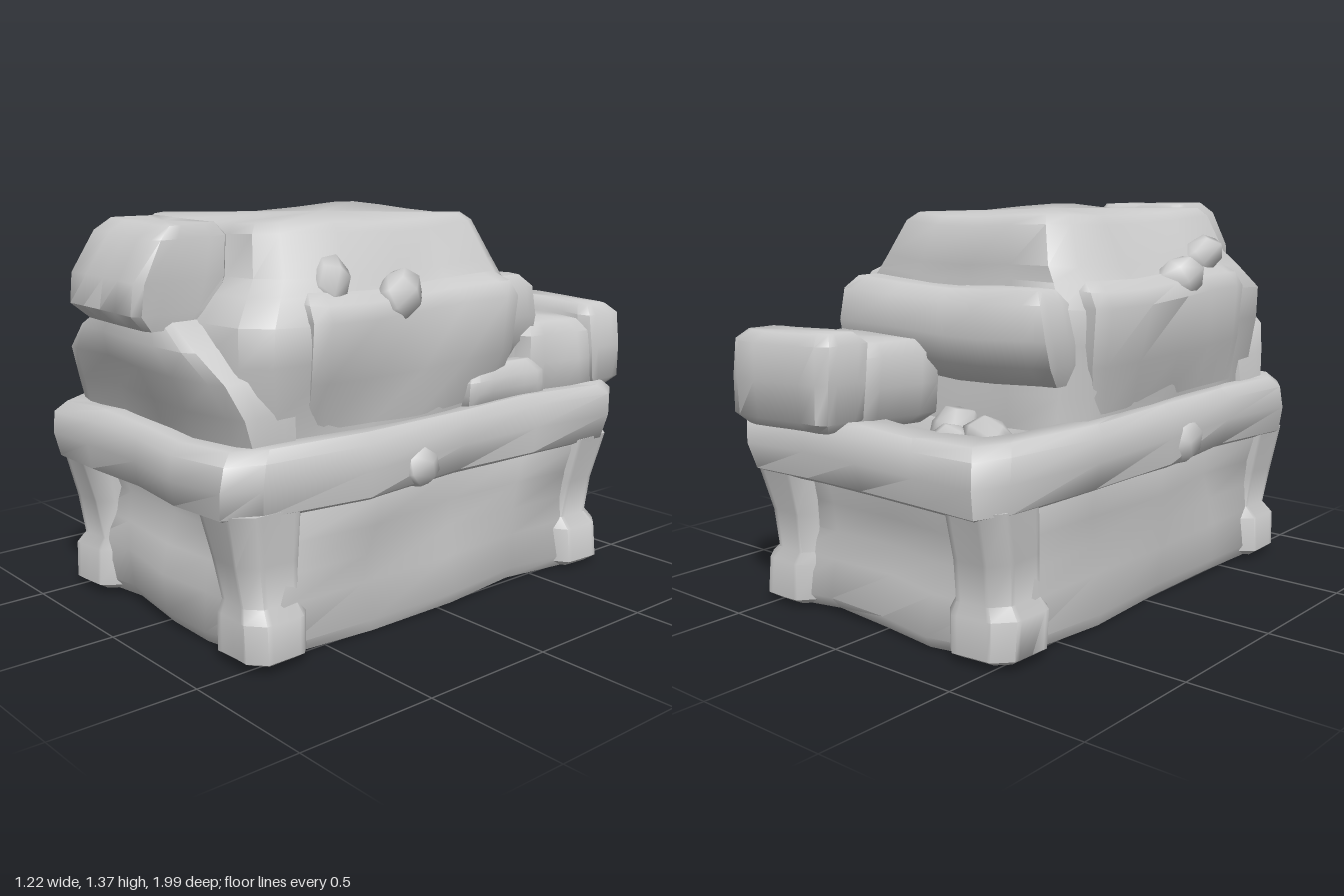
import * as THREE from 'three';
import { toCreasedNormals } from 'three/addons/utils/BufferGeometryUtils.js';

const material = new THREE.MeshStandardMaterial({ color: 0xcccccc, side: THREE.DoubleSide });

// Outline of a unit square, chamfered from c to the corner, counter-clockwise from above
function outline(c) {
  const steps = [-c, -0.42, 0.05, 0.45, c];
  return [
    ...steps.map((u) => [u, 1]),
    ...steps.map((u) => [1, -u]),
    ...steps.map((u) => [-u, -1]),
    ...steps.map((u) => [-1, u]),
  ];
}

// Worn, uneven surface
function wear(p, a) {
  const { x, y, z } = p;
  p.x += a * Math.sin(9 * y + 7 * z + 1);
  p.y += a * 0.6 * Math.sin(8 * x - 6 * z + 2);
  p.z += a * Math.sin(10 * x + 8 * y);
  return p;
}

// Closed loft through rings [y, x0, x1, z0, z1]
function loft(name, rings, amount = 0.015, corner = 0.86) {
  const shape = outline(corner), n = shape.length, pos = [], idx = [];
  const add = (x, y, z) => pos.push(...wear(new THREE.Vector3(x, y, z), amount).toArray());
  for (const [y, x0, x1, z0, z1] of rings) {
    for (const [u, v] of shape) {
      add((x0 + x1) / 2 + (u * (x1 - x0)) / 2, y, (z0 + z1) / 2 + (v * (z1 - z0)) / 2);
    }
  }
  for (const r of [rings[0], rings[rings.length - 1]]) add((r[1] + r[2]) / 2, r[0], (r[3] + r[4]) / 2);
  const bottom = rings.length * n, top = bottom + 1, last = (rings.length - 1) * n;
  for (let j = 0; j < n; j++) {
    const k = (j + 1) % n;
    for (let i = 0; i < rings.length - 1; i++) {
      const a = i * n + j, b = i * n + k;
      idx.push(a, b, b + n, a, b + n, a + n);
    }
    idx.push(k, j, bottom, last + j, last + k, top);
  }
  const g = new THREE.BufferGeometry();
  g.setAttribute('position', new THREE.Float32BufferAttribute(pos, 3));
  g.setIndex(idx);
  const mesh = new THREE.Mesh(toCreasedNormals(g, 0.9), material);
  mesh.name = name;
  return mesh;
}

// Block with bevelled top and bottom edges
function block(name, [x0, x1], [y0, y1], [z0, z1], b = 0.03, amount = 0.012) {
  const inset = (y) => [y, x0 + b, x1 - b, z0 + b, z1 - b];
  const full = (y) => [y, x0, x1, z0, z1];
  return loft(name, [inset(y0), full(y0 + b), full((y0 + y1) / 2), full(y1 - b), inset(y1)], amount, 0.8);
}

// Small worn lump
function lump(name, x, y, z, sx, sy, sz, turn) {
  const m = new THREE.Mesh(new THREE.SphereGeometry(1, 6, 4), material);
  m.name = name;
  m.position.set(x, y, z);
  m.scale.set(sx, sy, sz);
  m.rotation.set(turn, turn * 0.7, turn * 0.4);
  return m;
}

// Interval mirrored to the negative side when s < 0
const span = (a, b, s) => (s > 0 ? [a, b] : [-b, -a]);

export function createModel() {
  const model = new THREE.Group();
  model.name = 'chest';

  // Lower box, bulging low on the front and flaring upward
  model.add(loft('body', [
    [0.015, -0.52, 0.52, -0.78, 0.77],
    [0.06, -0.54, 0.54, -0.81, 0.8],
    [0.2, -0.54, 0.54, -0.79, 0.81],
    [0.3, -0.54, 0.54, -0.78, 0.79],
    [0.4, -0.545, 0.545, -0.79, 0.76],
    [0.5, -0.555, 0.555, -0.82, 0.79],
    [0.6, -0.52, 0.52, -0.82, 0.8],
  ]));

  // Rounded corner feet melting into leaning posts
  for (const sx of [-1, 1]) {
    for (const sz of [-1, 1]) {
      model.add(loft('footAndPost', [
        [0.015, ...span(0.34, 0.54, sx), ...span(0.62, 0.8, sz)],
        [0.04, ...span(0.31, 0.575, sx), ...span(0.59, 0.84, sz)],
        [0.17, ...span(0.31, 0.575, sx), ...span(0.59, 0.84, sz)],
        [0.21, ...span(0.32, 0.54, sx), ...span(0.6, 0.82, sz)],
        [0.35, ...span(0.32, 0.555, sx), ...span(0.6, 0.84, sz)],
        [0.52, ...span(0.31, 0.575, sx), ...span(0.6, 0.88, sz)],
      ], 0.008, 0.58));
    }
  }

  // Heavy band around the opening, turning in to a sunken floor
  model.add(loft('rim', [
    [0.48, -0.53, 0.53, -0.84, 0.84],
    [0.51, -0.58, 0.575, -0.9, 0.9],
    [0.6, -0.59, 0.585, -0.915, 0.92],
    [0.68, -0.585, 0.58, -0.905, 0.91],
    [0.715, -0.55, 0.55, -0.87, 0.87],
    [0.7, -0.43, 0.43, -0.7, 0.7],
    [0.64, -0.38, 0.38, -0.62, 0.62],
  ], 0.012, 0.88));
  for (const s of [-1, 1]) model.add(lump('rimLump', s * 0.56, 0.57, 0.13, 0.05, 0.08, 0.1, 0.3 * s));

  // Lid, swelling at mid height and stepping in to a flat top
  model.add(loft('lid', [
    [0.66, -0.48, 0.48, -0.42, 0.77],
    [0.78, -0.49, 0.49, -0.42, 0.78],
    [0.95, -0.52, 0.52, -0.4, 0.8],
    [1.07, -0.53, 0.53, -0.4, 0.78],
    [1.15, -0.48, 0.48, -0.38, 0.71],
    [1.2, -0.44, 0.44, -0.38, 0.66],
    [1.33, -0.37, 0.37, -0.36, 0.61],
    [1.36, -0.34, 0.34, -0.33, 0.58],
  ]));

  // Arched swelling below the latch
  model.add(loft('frontBulge', [
    [0.7, -0.5, 0.5, 0.6, 0.8],
    [0.8, -0.49, 0.49, 0.6, 0.83],
    [0.91, -0.46, 0.46, 0.6, 0.875],
    [1.0, -0.35, 0.35, 0.6, 0.9],
    [1.08, -0.19, 0.19, 0.6, 0.88],
  ], 0.01));

  // Overhanging lid flanks with broken ornaments
  for (const s of [-1, 1]) {
    model.add(loft('lidFlank', [
      [0.72, ...span(0.36, 0.485, s), -0.3, 0.55],
      [0.88, ...span(0.36, 0.525, s), -0.34, 0.57],
      [1.08, ...span(0.36, 0.56, s), -0.34, 0.57],
      [1.13, ...span(0.36, 0.53, s), -0.33, 0.56],
      [1.16, ...span(0.36, 0.48, s), -0.3, 0.53],
    ]));
    model.add(lump('flankLump', s * 0.5, 1.13, 0.18, 0.07, 0.08, 0.11, 0.5 * s));
    model.add(lump('flankLump', s * 0.43, 1.19, 0.42, 0.07, 0.07, 0.11, 0.9 * s));
  }

  // Rounded latch projecting from the top of the front
  model.add(loft('latch', [
    [1.05, -0.18, 0.19, 0.76, 0.94],
    [1.1, -0.22, 0.2, 0.68, 0.99],
    [1.2, -0.22, 0.2, 0.64, 0.98],
    [1.33, -0.2, 0.2, 0.63, 0.91],
    [1.37, -0.17, 0.18, 0.66, 0.86],
  ], 0.006));

  // Overhanging ridge along the rear of the lid
  model.add(loft('rearRidge', [
    [0.82, -0.44, 0.42, -0.46, -0.34],
    [0.89, -0.47, 0.46, -0.53, -0.34],
    [0.98, -0.48, 0.46, -0.55, -0.35],
    [1.09, -0.47, 0.45, -0.53, -0.36],
    [1.13, -0.43, 0.42, -0.48, -0.38],
  ]));

  // Raised bracket on one side of the rear shelf
  model.add(block('bracketArm', [0.05, 0.49], [0.66, 0.95], [-0.86, -0.44], 0.04));
  model.add(block('bracketEnd', [0.04, 0.5], [0.68, 1.0], [-0.98, -0.79], 0.035, 0.01));
  model.add(block('sideShelf', [0.4, 0.53], [0.66, 0.83], [-0.52, -0.12], 0.04));

  // Debris on the open side of the shelf
  [[-0.3, 0.66, -0.6, 0.1], [-0.12, 0.66, -0.56, 0.1], [-0.2, 0.65, -0.66, 0.08]].forEach(([x, y, z, r], i) =>
    model.add(lump('debris', x, y, z, r, r * 0.8, r, i + 0.6)));

  return model;
}
